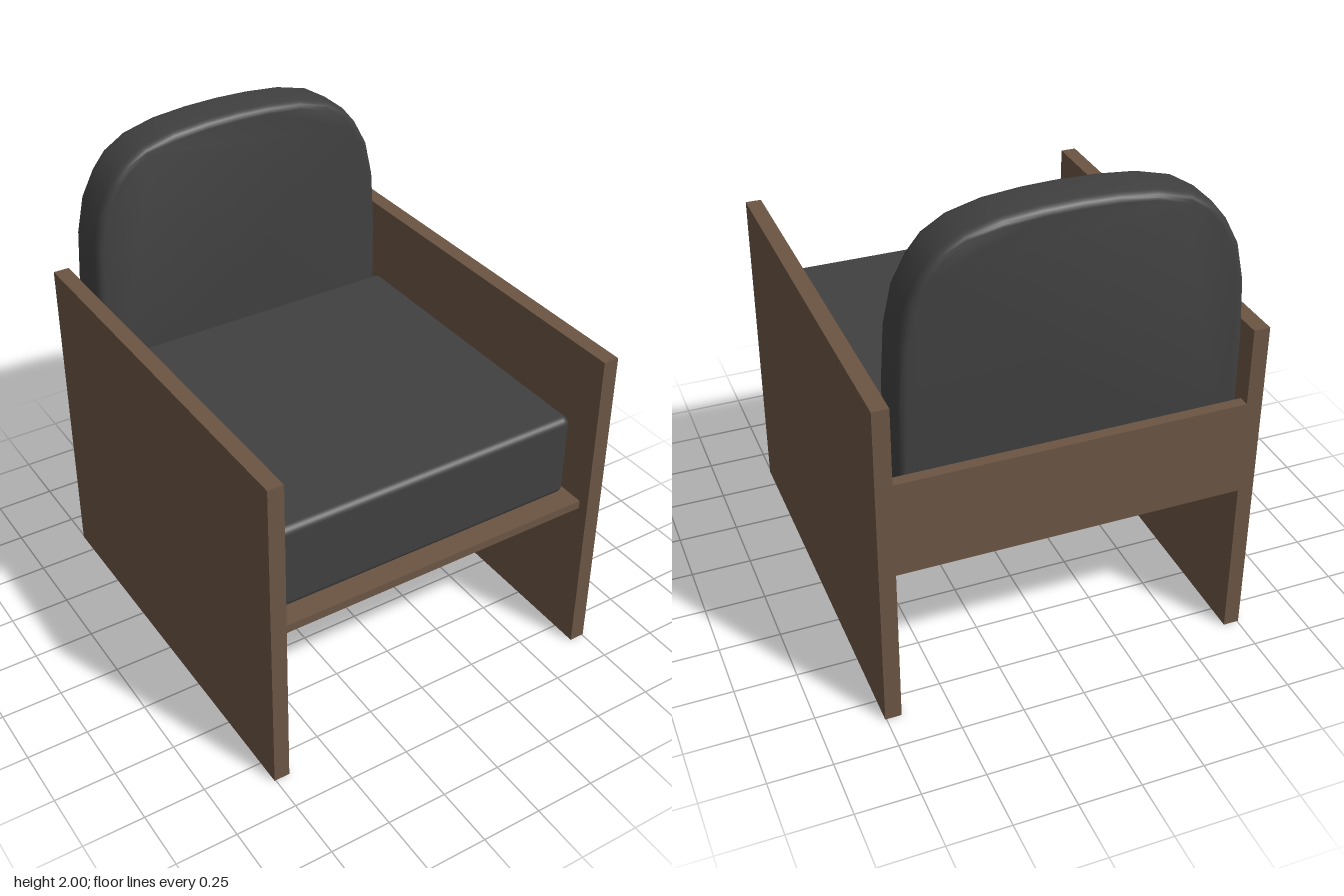
import * as THREE from 'three';
import { toCreasedNormals } from 'three/addons/utils/BufferGeometryUtils.js';
import { RoundedBoxGeometry } from 'three/addons/geometries/RoundedBoxGeometry.js';

const wood = new THREE.MeshStandardMaterial({ color: 0x6b5544 });
const fabric = new THREE.MeshStandardMaterial({ color: 0x404040 });

export function createModel() {
  const group = new THREE.Group();

  const add = (name, geometry, material, x, y, z) => {
    const mesh = new THREE.Mesh(geometry, material);
    mesh.name = name;
    mesh.position.set(x, y, z);
    group.add(mesh);
  };
  // Box placed by its lower and upper limits
  const panel = (name, [x0, x1], [y0, y1], [z0, z1]) =>
    add(name, new THREE.BoxGeometry(x1 - x0, y1 - y0, z1 - z0), wood,
      (x0 + x1) / 2, (y0 + y1) / 2, (z0 + z1) / 2);

  // Wooden frame: two full-height sides, seat board and back rail
  panel('leftSidePanel', [0.69, 0.755], [0, 1.385], [-0.855, 0.855]);
  panel('rightSidePanel', [-0.755, -0.69], [0, 1.385], [-0.855, 0.855]);
  panel('seatBoard', [-0.69, 0.69], [0.675, 0.71], [-0.81, 0.81]);
  panel('backPanel', [-0.69, 0.69], [0.675, 1.07], [-0.855, -0.81]);

  // Seat cushion, a soft-edged block
  const cushionX = -0.015;
  add('seatCushion', new RoundedBoxGeometry(1.33, 0.36, 1.335, 4, 0.03), fabric,
    cushionX, 0.915, 0.0875);

  // Back cushion: arched outline, extruded with a rounded rim
  const half = [[0.665, 1.1], [0.662, 1.35], [0.648, 1.57], [0.615, 1.72],
    [0.56, 1.825], [0.505, 1.893], [0.415, 1.948], [0.285, 1.982], [0.14, 1.996]];
  const outline = [
    [-0.635, 0.735], [0.635, 0.735], [0.656, 0.744], [0.665, 0.765],
    ...half, [0, 2],
    ...half.map(([x, y]) => [-x, y]).reverse(),
    [-0.665, 0.765], [-0.656, 0.744],
  ].map(([x, y]) => new THREE.Vector2(x, y));
  const rimDepth = 0.04;
  const depth = 0.212;
  const back = new THREE.ExtrudeGeometry(new THREE.Shape(outline), {
    depth: depth - 2 * rimDepth,
    bevelThickness: rimDepth,
    bevelSize: 0.03,
    bevelOffset: -0.03,
    bevelSegments: 5,
  });
  add('backCushion', toCreasedNormals(back, 0.6), fabric,
    cushionX, 0, -0.809 + rimDepth);

  return group;
}
